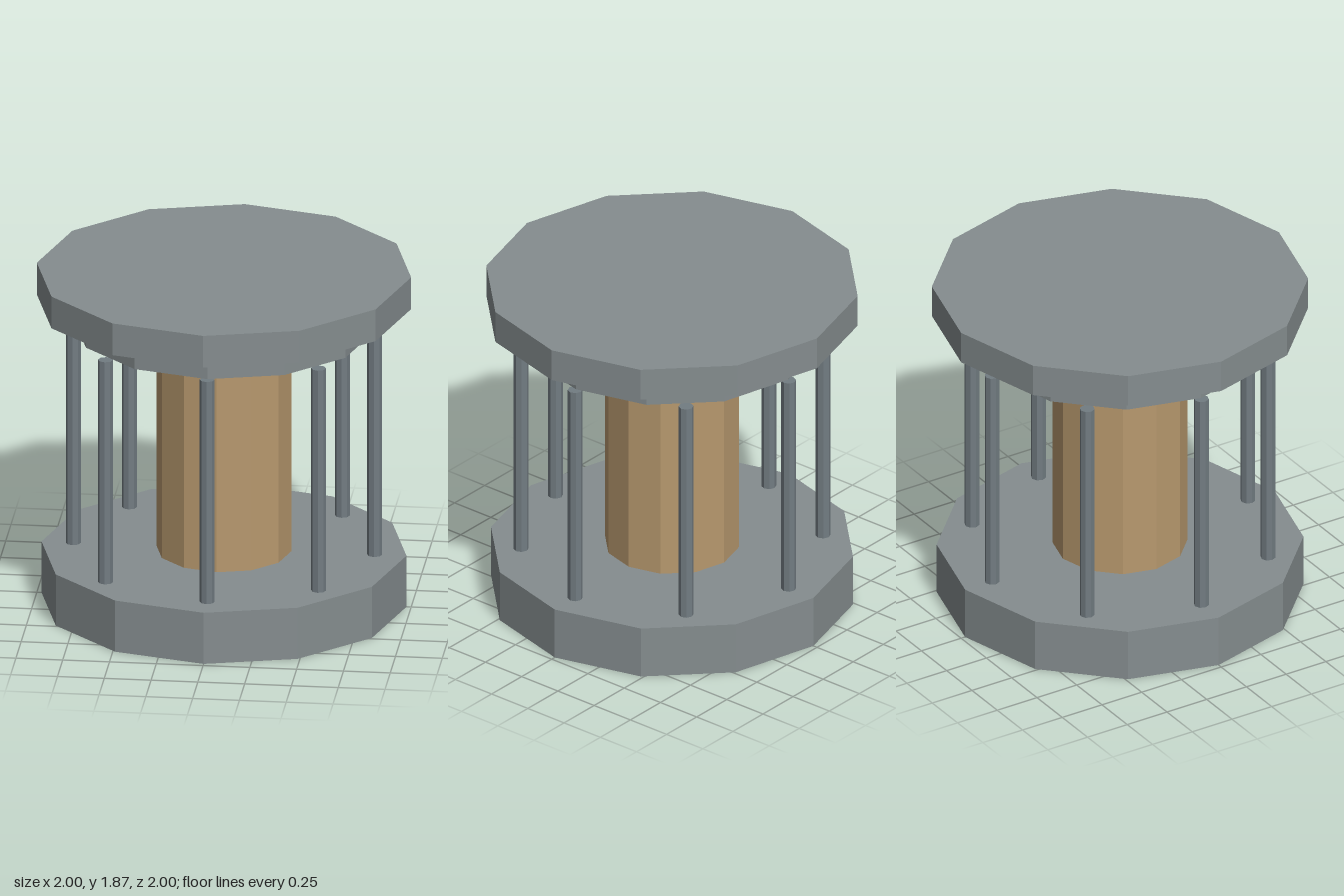
import * as THREE from 'three';

export function createModel() {
  const model = new THREE.Group();
  model.name = 'lanternDrum';

  const material = (name, color) => {
    const m = new THREE.MeshStandardMaterial({ color, flatShading: true });
    m.name = name;
    return m;
  };
  const stone = material('grey stone', 0x858d8f);
  const wood = material('tan core', 0xb8996e);
  const metal = material('dark metal', 0x727c82);

  // Upright prism between two heights
  const prism = (name, radius, bottom, top, sides, mat, x = 0, z = 0) => {
    const mesh = new THREE.Mesh(
      new THREE.CylinderGeometry(radius, radius, top - bottom, sides), mat);
    mesh.name = name;
    mesh.position.set(x, (bottom + top) / 2, z);
    return mesh;
  };

  // Base, core and stepped cap
  model.add(
    prism('base', 0.975, 0, 0.29, 12, stone),
    prism('core', 0.36, 0.29, 1.55, 12, wood),
    prism('lowerCap', 0.8, 1.55, 1.69, 12, stone),
    prism('upperCap', 1, 1.69, 1.87, 12, stone),
  );

  // Ring of eight rods
  const rods = new THREE.Group();
  rods.name = 'rods';
  for (let i = 0; i < 8; i++) {
    const a = (i * Math.PI) / 4;
    rods.add(prism('rod', 0.04, 0.29, 1.55, 8, metal, 0.805 * Math.sin(a), 0.805 * Math.cos(a)));
  }
  model.add(rods);

  return model;
}
